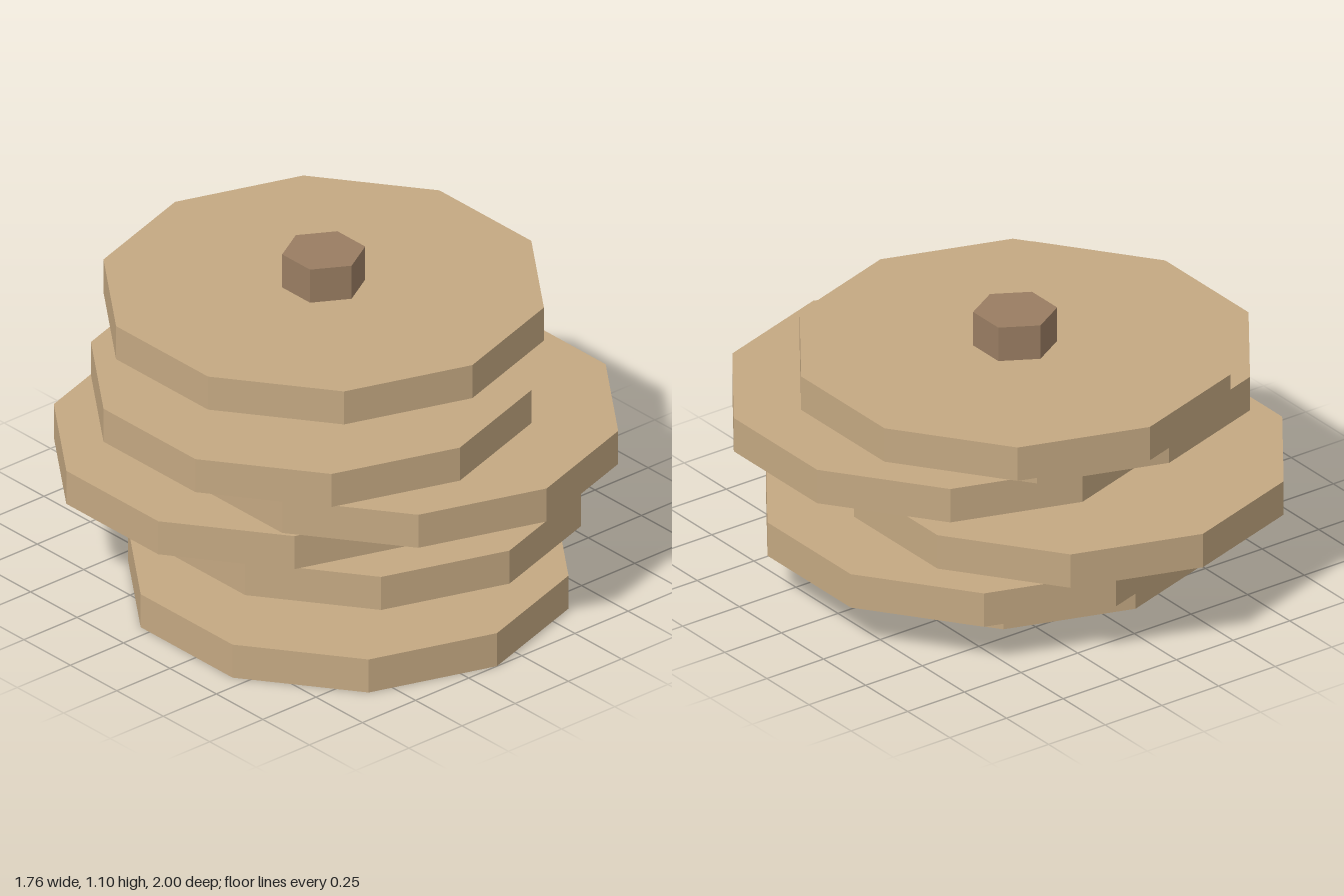
import * as THREE from 'three';

export function createModel() {
  const model = new THREE.Group();
  model.name = 'stackedDiscs';

  const discMaterial = new THREE.MeshStandardMaterial({ color: 0xc4a882 });
  discMaterial.name = 'light tan';
  discMaterial.flatShading = true;
  const pegMaterial = new THREE.MeshStandardMaterial({ color: 0x997d62 });
  pegMaterial.name = 'brown';
  pegMaterial.flatShading = true;

  const step = 1 / 6;        // rise from one disc to the next
  const thickness = 0.1333;  // disc thickness
  const pegBase = 0.01;      // pegs start just inside their disc
  const pegTop = 0.2667;     // and run up into the disc above
  const discGeometry = new THREE.CylinderGeometry(0.8, 0.8, thickness, 10);
  const pegGeometry = new THREE.CylinderGeometry(0.15, 0.15, pegTop - pegBase, 6);

  // Six tiers, shifting side to side and front to back
  for (let i = 0; i < 6; i++) {
    const tier = new THREE.Group();
    tier.name = `tier${i + 1}`;
    tier.position.set(i % 2 ? 0.117 : -0.117, i * step, 0.2 - 0.2 * (i % 3));

    const disc = new THREE.Mesh(discGeometry, discMaterial);
    disc.name = 'disc';
    disc.position.y = thickness / 2;

    const peg = new THREE.Mesh(pegGeometry, pegMaterial);
    peg.name = 'peg';
    peg.position.y = (pegBase + pegTop) / 2;

    tier.add(disc, peg);
    model.add(tier);
  }
  return model;
}
